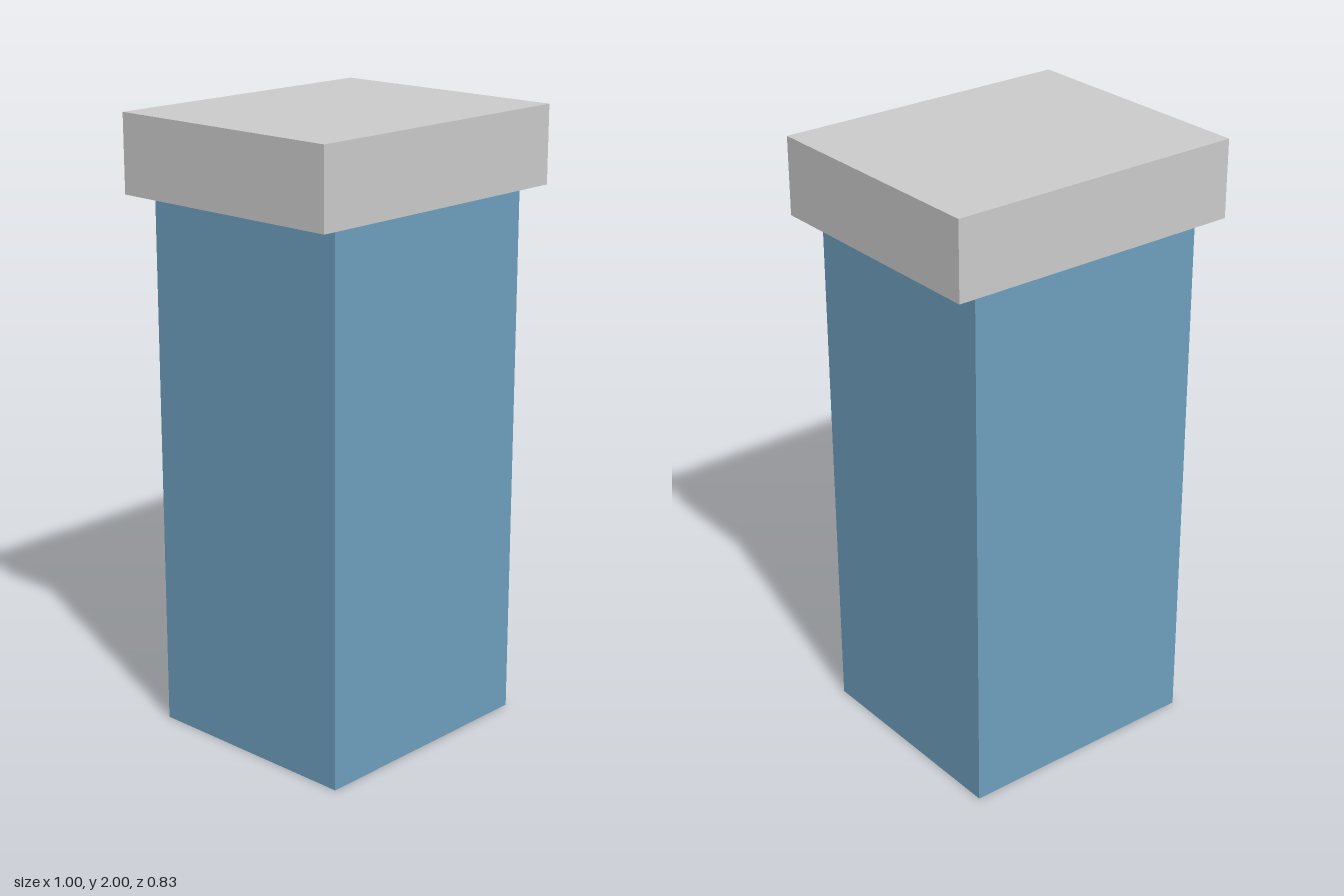
import * as THREE from 'three';

export function createModel() {
  const model = new THREE.Group();
  model.name = 'cappedPillar';

  // Adds a centred block whose underside sits at the given height
  const addBlock = (name, width, height, depth, bottom, color) => {
    const mesh = new THREE.Mesh(
      new THREE.BoxGeometry(width, height, depth),
      new THREE.MeshStandardMaterial({ color })
    );
    mesh.name = name;
    mesh.position.y = bottom + height / 2;
    model.add(mesh);
  };

  // Blue shaft
  addBlock('shaft', 0.83, 1.75, 0.75, 0, 0x6e9fbf);
  // Overhanging grey slab on top
  addBlock('cap', 1, 0.25, 0.83, 1.75, 0xcccccc);

  return model;
}
